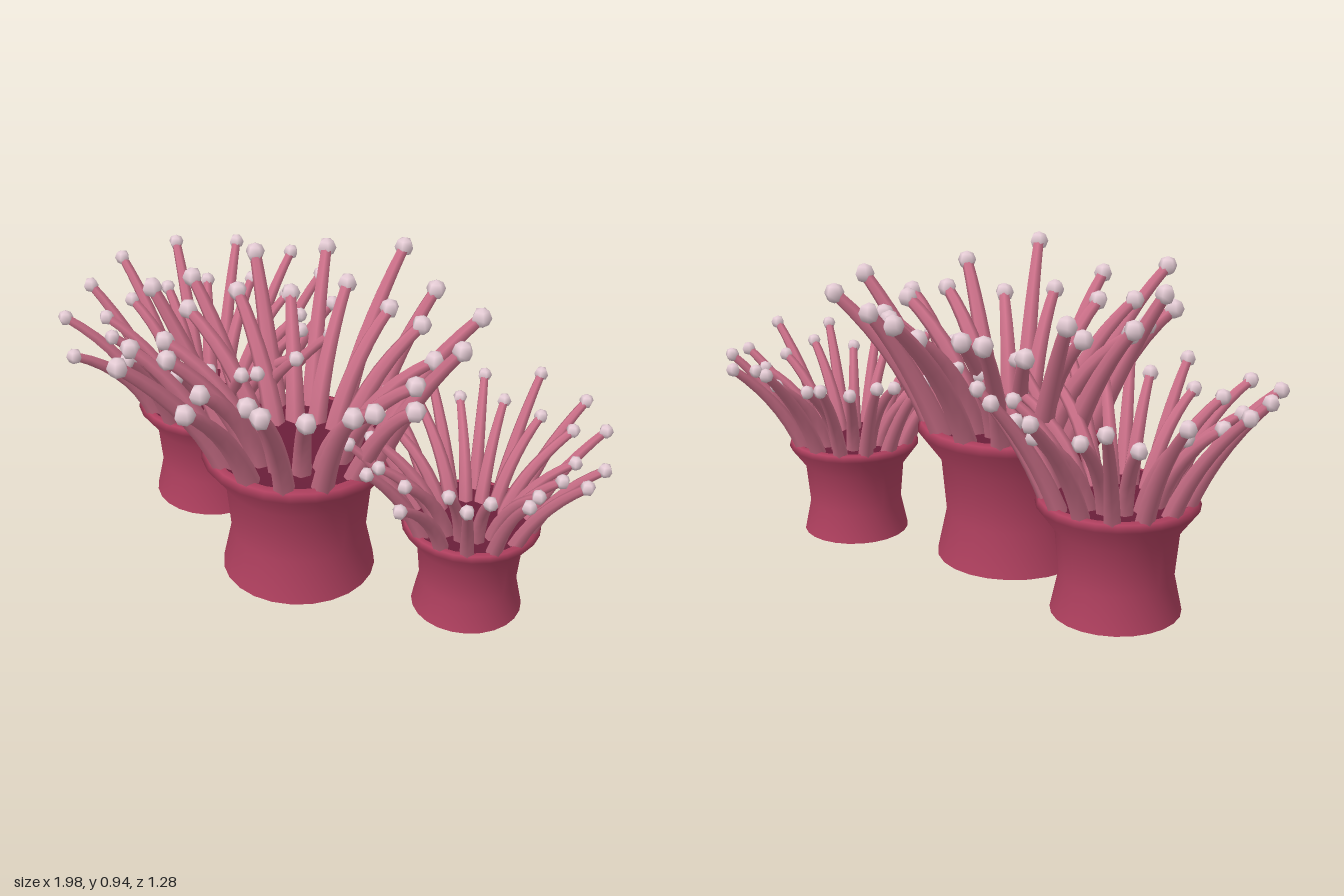
import * as THREE from 'three';

const bodyMat = new THREE.MeshStandardMaterial({ color: 0xb0405f });
const discMat = new THREE.MeshStandardMaterial({ color: 0x6b1f3a });
const tentacleMat = new THREE.MeshStandardMaterial({ color: 0xcc7089 });
const tipMat = new THREE.MeshStandardMaterial({ color: 0xe6cdd6 });

// Small seeded generator, returns -1..1
function seeded(seed) {
  let s = seed;
  return () => {
    s = (s * 16807) % 2147483647;
    return (s / 2147483647) * 2 - 1;
  };
}

function addMesh(parent, name, geometry, material) {
  const mesh = new THREE.Mesh(geometry, material);
  mesh.name = name;
  parent.add(mesh);
  return mesh;
}

function lathe(points) {
  return new THREE.LatheGeometry(points.map(([r, y]) => new THREE.Vector2(r, y)), 24);
}

// Tube that narrows evenly from r0 at the root to r1 at the tip
function taperedTube(curve, r0, r1, steps, sides) {
  const geo = new THREE.TubeGeometry(curve, steps, 1, sides);
  const pos = geo.attributes.position;
  const v = new THREE.Vector3();
  for (let i = 0; i <= steps; i++) {
    const c = curve.getPointAt(i / steps);
    const r = THREE.MathUtils.lerp(r0, r1, i / steps);
    for (let j = 0; j <= sides; j++) {
      const k = i * (sides + 1) + j;
      v.fromBufferAttribute(pos, k).sub(c).multiplyScalar(r).add(c);
      pos.setXYZ(k, v.x, v.y, v.z);
    }
  }
  return geo;
}

// One ring of curved tentacles with a bead on each end; tips holds [radius, height]
function addRing(parent, ring, tips) {
  tips.forEach(([reach, height], i) => {
    const angle = ((i + ring.offset) / tips.length) * Math.PI * 2;
    const at = (r, y) => new THREE.Vector3(Math.sin(angle) * r, y, Math.cos(angle) * r);
    const end = at(reach, height);
    const curve = new THREE.QuadraticBezierCurve3(at(...ring.root), at(...ring.bend), end);
    const tentacle = new THREE.Group();
    tentacle.name = ring.name;
    addMesh(tentacle, 'tentacleStalk', taperedTube(curve, 0.036, 0.019, 7, 6), tentacleMat);
    const bead = addMesh(tentacle, 'tentacleTip', new THREE.SphereGeometry(0.033, 5, 4), tipMat);
    bead.position.copy(end);
    bead.rotation.y = angle;
    parent.add(tentacle);
  });
}

function createAnemone(name, seed, reaches, heights) {
  const anemone = new THREE.Group();
  anemone.name = name;
  const rand = seeded(seed);

  // Waisted column flaring to a rim with a narrow lip
  addMesh(anemone, 'column', lathe([
    [0.25, 0], [0.219, 0.145], [0.236, 0.33],
    [0.31, 0.43], [0.3, 0.458], [0.28, 0.464], [0.265, 0.45],
  ]), bodyMat);
  addMesh(anemone, 'foot', new THREE.CircleGeometry(0.25, 24), bodyMat).rotation.x = Math.PI / 2;

  // Slightly sunken mouth disc
  addMesh(anemone, 'mouthDisc', lathe([[0.28, 0.463], [0.26, 0.45], [0.12, 0.448], [0, 0.445]]), discMat);

  addRing(anemone, { name: 'outerTentacle', offset: 0, root: [0.258, 0.44], bend: [0.36, 0.69] },
    reaches.map((reach, i) => [reach, heights[i]]));
  addRing(anemone, { name: 'innerTentacle', offset: 0.5, root: [0.155, 0.43], bend: [0.22, 0.66] },
    reaches.map(() => [0.42 + rand() * 0.035, 0.8 + rand() * 0.03]));
  return anemone;
}

export function createModel() {
  const model = new THREE.Group();
  model.name = 'anemoneCluster';
  [
    ['largeAnemone', 0, 0.06, 1, 11,
      [0.55, 0.61, 0.54, 0.5, 0.52, 0.56, 0.5, 0.61, 0.59, 0.5, 0.51, 0.49, 0.51, 0.59],
      [0.83, 0.91, 0.86, 0.79, 0.89, 0.88, 0.87, 0.9, 0.86, 0.89, 0.85, 0.91, 0.81, 0.89]],
    ['mediumAnemone', -0.505, -0.135, 0.8, 37,
      [0.52, 0.55, 0.56, 0.55, 0.55, 0.52, 0.54, 0.6, 0.61, 0.6, 0.59, 0.55, 0.59, 0.6],
      [0.86, 0.86, 0.86, 0.86, 0.86, 0.88, 0.9, 0.9, 0.9, 0.91, 0.9, 0.88, 0.85, 0.81]],
    ['smallAnemone', 0.565, -0.065, 0.7, 73,
      [0.62, 0.55, 0.56, 0.6, 0.56, 0.56, 0.59, 0.59, 0.57, 0.55, 0.55, 0.55, 0.55, 0.55],
      [0.84, 0.86, 0.88, 0.91, 0.84, 0.88, 0.88, 0.91, 0.86, 0.86, 0.86, 0.86, 0.86, 0.86]],
  ].forEach(([name, x, z, scale, seed, reaches, heights]) => {
    const anemone = createAnemone(name, seed, reaches, heights);
    anemone.position.set(x, 0, z);
    anemone.scale.setScalar(scale);
    model.add(anemone);
  });
  return model;
}
